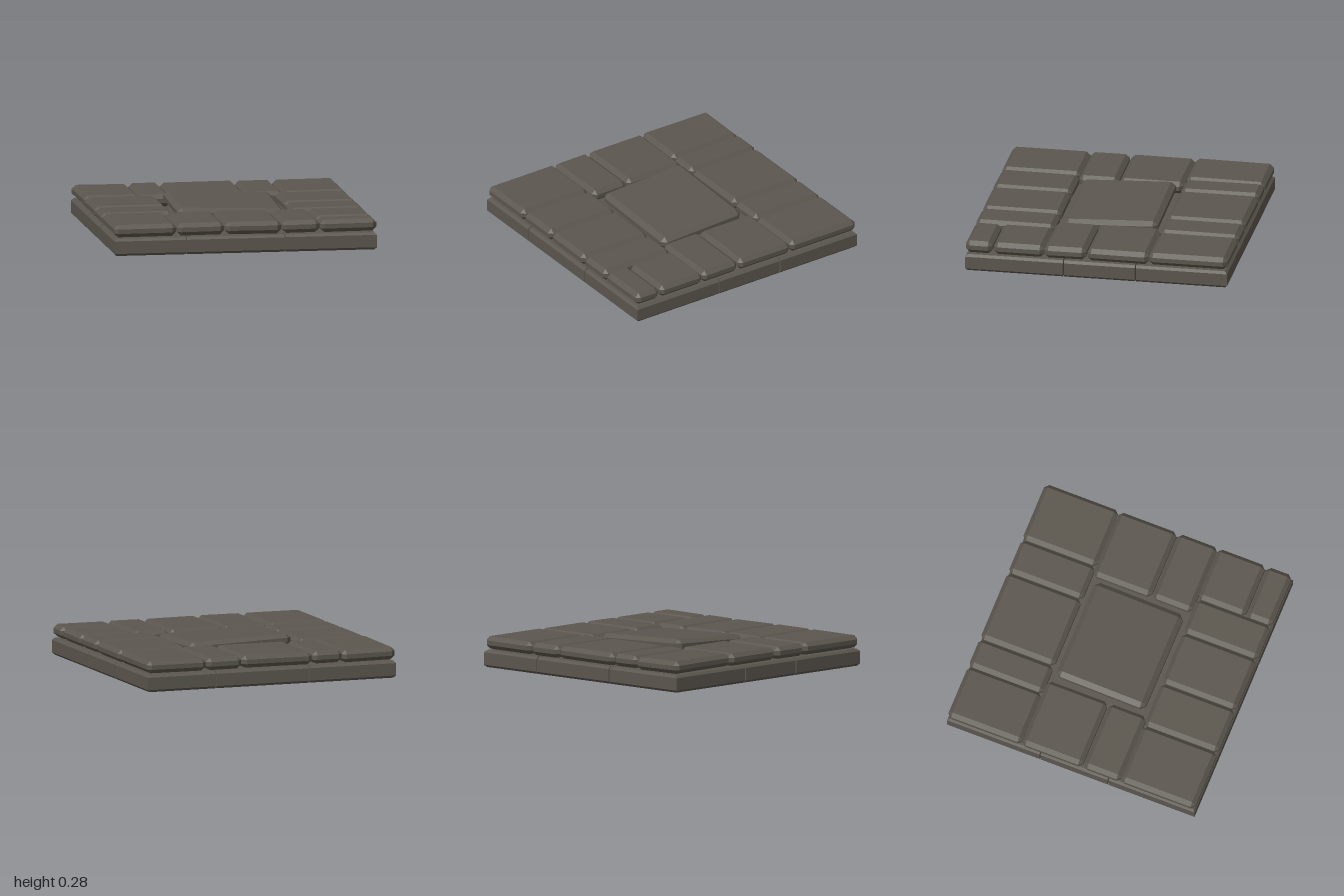
import * as THREE from 'three';
import { ConvexGeometry } from 'three/addons/geometries/ConvexGeometry.js';

const stone = new THREE.MeshStandardMaterial({ color: 0x5b564e });
stone.name = 'darkStone';

// Small seeded generator for the uneven lay of the slabs
function seeded(seed) {
  return () => {
    seed = (seed * 16807) % 2147483647;
    return seed / 2147483647;
  };
}

// Block with every edge and corner chamfered; top and bottom follow a tilt
function slab(name, [x0, x1, z0, z1], y0, y1, bevel, tiltX, tiltZ) {
  const cx = (x0 + x1) / 2, cz = (z0 + z1) / 2;
  const points = [];
  const add = (x, y, z) =>
    points.push(new THREE.Vector3(x, y + (x - cx) * tiltX + (z - cz) * tiltZ, z));
  const rise = 0.03;
  for (const [x, sx] of [[x0, 1], [x1, -1]])
    for (const [z, sz] of [[z0, 1], [z1, -1]])
      for (const [y, sy] of [[y0, 1], [y1, -1]]) {
        const ix = x + sx * bevel, iz = z + sz * bevel, iy = y + sy * rise;
        add(ix, y, iz);
        add(x, iy, iz);
        add(ix, iy, z);
      }
  const mesh = new THREE.Mesh(new ConvexGeometry(points), stone);
  mesh.name = name;
  return mesh;
}

// Kerb block on the +z side; ends at the corners are mitred
function kerbBlock(a, b) {
  const gap = 0.004, c = 0.018, height = 0.13, depth = 0.15;
  const points = [];
  const endX = (x, z, side) => (Math.abs(x) === 1 ? side * z : x - side * gap);
  for (const [y, inset] of [[0, c], [c, 0], [height - c, 0], [height, c]])
    for (const z of [1 - inset, 1 - depth + inset])
      for (const [x, side] of [[a, -1], [b, 1]])
        points.push(new THREE.Vector3(endX(x, z, side), y, z));
  const mesh = new THREE.Mesh(new ConvexGeometry(points), stone);
  mesh.name = 'kerbBlock';
  return mesh;
}

export function createModel() {
  const model = new THREE.Group();
  model.name = 'stoneFloorTile';

  // Base: four kerb sides around a slightly recessed core
  const base = new THREE.Group();
  base.name = 'base';
  const sideCuts = [
    [-1, -0.45, 0.3, 1],
    [-1, -0.25, 0.3, 1],
    [-1, -0.45, 0.3, 1],
    [-1, -0.25, 0.3, 1],
  ];
  sideCuts.forEach((cuts, i) => {
    const side = new THREE.Group();
    side.name = 'kerbSide';
    for (let k = 0; k < cuts.length - 1; k++) side.add(kerbBlock(cuts[k], cuts[k + 1]));
    side.rotation.y = (i * Math.PI) / 2;
    base.add(side);
  });
  const core = new THREE.Mesh(new THREE.BoxGeometry(1.8, 0.098, 1.8), stone);
  core.name = 'baseCore';
  core.position.y = 0.079;
  base.add(core);
  model.add(base);

  // Paving slabs around the edge: x0, x1, z0, z1
  const layout = [
    // back row
    [-1, -0.57, -1, -0.4], [-0.57, -0.335, -1, -0.4], [-0.33, 0.235, -1, -0.4],
    [0.24, 0.52, -1, -0.4], [0.525, 1, -1, -0.4],
    // left and right pairs
    [-1, -0.455, -0.4, 0.09], [-1, -0.455, 0.1, 0.4],
    [0.45, 1, -0.4, 0.07], [0.45, 1, 0.08, 0.4],
    // front row, with the corner slab split in two
    [-1, -0.525, 0.4, 1], [-0.52, -0.16, 0.4, 1], [-0.155, 0.275, 0.4, 1],
    [0.28, 0.565, 0.4, 1], [0.57, 1, 0.4, 0.785], [0.57, 1, 0.795, 1],
  ];
  const paving = new THREE.Group();
  paving.name = 'paving';
  const random = seeded(7);
  for (const rect of layout) {
    const tilt = () => (random() - 0.5) * 0.018;
    paving.add(slab('pavingSlab', rect, 0.14, 0.234, 0.032, tilt(), tilt()));
  }
  model.add(paving);

  // Raised centre slab, highest at the back right corner of the tile
  model.add(slab('centreSlab', [-0.41, 0.41, -0.36, 0.36], 0.155, 0.249, 0.038, -0.034, -0.042));
  return model;
}
